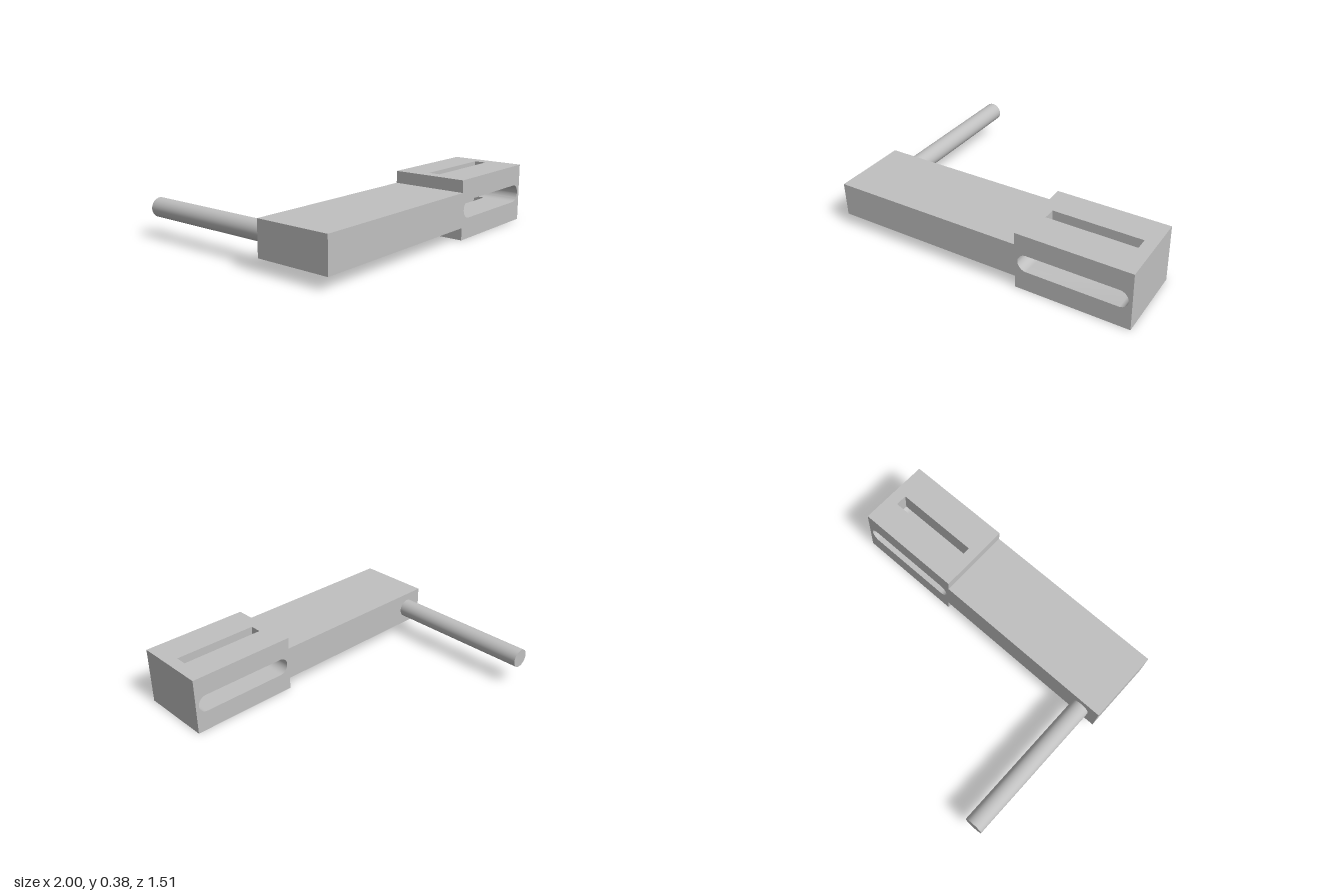
import * as THREE from 'three';
import { mergeGeometries, toCreasedNormals } from 'three/addons/utils/BufferGeometryUtils.js';

const H = 0.382, YC = H / 2;            // block height and centre line
const ARM = 0.112;                      // half height of the arm
const XB = 0.265;                       // where the block begins
const Z0 = 0.255, Z1 = 0.757;           // back and front of the body
const R = 0.0575, SX0 = 0.341, SX1 = 0.92; // cross slot: radius and arc centres
const VZ0 = 0.455, VZ1 = 0.535;         // upright slot depth range

// Walls swept along z from a path; they face right of the travel direction
function wall(path, z0, z1) {
  const pos = [];
  for (let i = 0; i < path.length - 1; i++) {
    const [[px, py], [qx, qy]] = [path[i], path[i + 1]];
    pos.push(px, py, z0, qx, qy, z0, qx, qy, z1, px, py, z0, qx, qy, z1, px, py, z1);
  }
  const g = new THREE.BufferGeometry();
  g.setAttribute('position', new THREE.Float32BufferAttribute(pos, 3));
  return g;
}

// Flat face with one hole, facing +z
function face(outline, hole) {
  const toPts = (list) => list.map(([x, y]) => new THREE.Vector2(x, y));
  const shape = new THREE.Shape(toPts(outline));
  shape.holes.push(new THREE.Path(toPts(hole)));
  const g = new THREE.ShapeGeometry(shape).toNonIndexed();
  g.deleteAttribute('uv');
  g.deleteAttribute('normal');
  return g;
}

// Clockwise half circle
function arc(cx, start, n = 24) {
  return Array.from({ length: n + 1 }, (_, i) => {
    const a = start - (Math.PI * i) / n;
    return [cx + R * Math.cos(a), YC + R * Math.sin(a)];
  });
}

// Clockwise rectangle
const rect = (x0, x1, y0, y1) => [[x0, y0], [x0, y1], [x1, y1], [x1, y0]];

function bodyGeometry() {
  const parts = [];
  const outline = [
    [1, 0], [1, H], [XB, H], [XB, YC + ARM], [-1, YC + ARM],
    [-1, YC - ARM], [XB, YC - ARM], [XB, 0],
  ];
  const leftArc = arc(SX0, Math.PI * 1.5), rightArc = arc(SX1, Math.PI / 2);
  const slot = [...leftArc, ...rightArc];
  const mirrorX = (list) => list.map(([x, y]) => [-x, y]);

  // Front and back faces
  parts.push(face(outline, slot).translate(0, 0, Z1));
  parts.push(face(mirrorX(outline), mirrorX(slot)).rotateY(Math.PI).translate(0, 0, Z0));

  // Outer sides, apart from the block's top and bottom
  parts.push(wall(outline.slice(0, 2), Z0, Z1), wall(outline.slice(2), Z0, Z1));

  // Block top and bottom, with the upright slot cut out
  parts.push(face(rect(XB, 1, -Z1, -Z0), rect(SX0, SX1, -VZ1, -VZ0))
    .rotateX(-Math.PI / 2).translate(0, H, 0));
  parts.push(face(rect(XB, 1, Z0, Z1), rect(SX0, SX1, VZ0, VZ1)).rotateX(Math.PI / 2));

  // Cross slot: round ends, then roof and floor on both sides of the upright slot
  parts.push(wall(leftArc, Z0, Z1), wall(rightArc, Z0, Z1));
  for (const [a, b] of [[Z0, VZ0], [VZ1, Z1]]) {
    parts.push(wall([[SX0, YC + R], [SX1, YC + R]], a, b));
    parts.push(wall([[SX1, YC - R], [SX0, YC - R]], a, b));
  }

  // Upright slot walls above and below the cross slot
  const ring = rect(SX0, SX1, -VZ1, -VZ0);
  ring.push(ring[0]);
  for (const [a, b] of [[0, YC - R], [YC + R, H]]) {
    parts.push(wall(ring, a, b).rotateX(-Math.PI / 2));
  }

  const merged = mergeGeometries(parts.map((g) => {
    g.deleteAttribute('normal');
    return g;
  }));
  merged.computeVertexNormals();
  return toCreasedNormals(merged, 0.5);
}

export function createModel() {
  const model = new THREE.Group();
  model.name = 'slottedCrank';
  const grey = new THREE.MeshStandardMaterial({ color: 0xc0c0c0 });
  grey.name = 'plain grey';

  const body = new THREE.Mesh(bodyGeometry(), grey);
  body.name = 'slottedArm';

  // Round pin at the back of the arm's far end
  const length = Z0 + 0.757;
  const pin = new THREE.Mesh(new THREE.CylinderGeometry(0.0625, 0.0625, length, 48), grey);
  pin.name = 'pin';
  pin.rotation.x = Math.PI / 2;
  pin.position.set(-0.873, YC, Z0 - length / 2);

  model.add(body, pin);
  return model;
}
